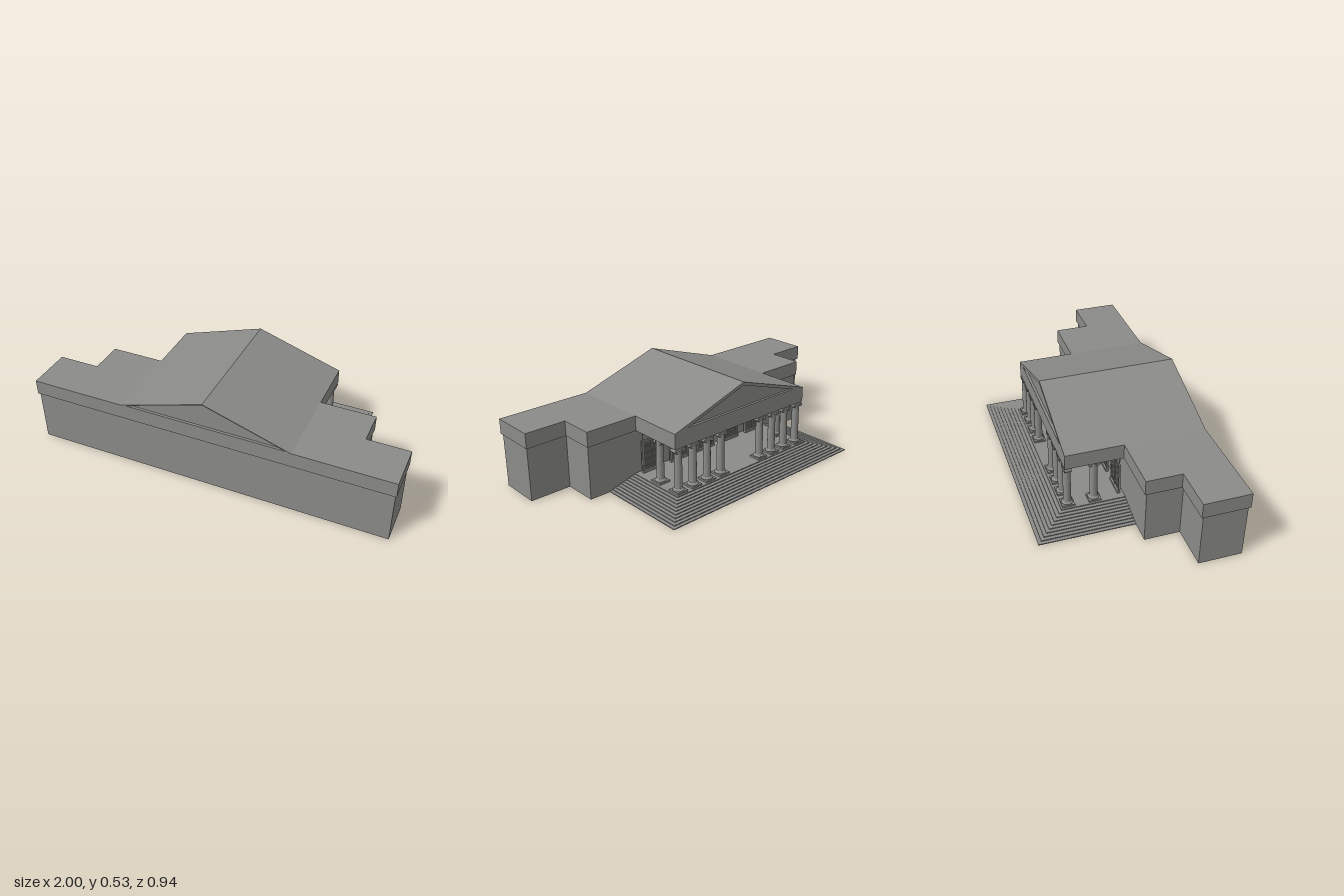
import * as THREE from 'three';

const stone = new THREE.MeshStandardMaterial({ color: 0x8b8b89, side: THREE.DoubleSide });
stone.name = 'grey stone';
const glass = new THREE.MeshStandardMaterial({ color: 0x5e5e5b });
glass.name = 'dark glazing';

const FLOOR = 0.05, BEAM = 0.297, EAVES = 0.38, RIDGE = 0.532;

function add(parent, name, geometry, material = stone, x = 0, y = 0, z = 0) {
  const mesh = new THREE.Mesh(geometry, material);
  mesh.name = name;
  mesh.position.set(x, y, z);
  parent.add(mesh);
  return mesh;
}

// Box given by its centre in x and z and its bottom and top in y
function block(parent, name, x, z, w, d, y0, y1, material = stone) {
  return add(parent, name, new THREE.BoxGeometry(w, y1 - y0, d), material, x, (y0 + y1) / 2, z);
}

function faceted(geometry) {
  const g = geometry.toNonIndexed();
  g.computeVertexNormals();
  return g;
}

// Plan outline: half a list of [x, z] points, mirrored into a closed loop
function plan(half) {
  const loop = [...half, ...half.map(([x, z]) => [-x, z]).reverse()];
  return loop.map(([x, z]) => new THREE.Vector2(x, -z));
}

function triangle(halfWidth, y0, y1, Type = THREE.Shape) {
  return new Type([[-halfWidth, y0], [halfWidth, y0], [0, y1], [-halfWidth, y0]].map(p => new THREE.Vector2(...p)));
}

function extrude(shape, depth) {
  return new THREE.ExtrudeGeometry(shape, { depth, bevelEnabled: false });
}

// Open shell of risers and treads wrapping three sides, closed by the platform top
function stairShell(count, run) {
  const positions = [], index = [];
  const last = count * 2 - 1;
  for (let i = 0; i <= last; i++) {
    const inset = run * Math.floor(i / 2) / (count - 1);
    const y = FLOOR * Math.ceil(i / 2) / count;
    const w = 0.645 - inset, back = -0.47 + inset;
    positions.push(w, y, 0.04, w, y, back, -w, y, back, -w, y, 0.04);
    if (i === 0) continue;
    for (let k = 0; k < 3; k++) {
      const low = (i - 1) * 4 + k, high = i * 4 + k;
      index.push(low, low + 1, high + 1, low, high + 1, high);
    }
  }
  const top = last * 4;
  index.push(top, top + 1, top + 2, top, top + 2, top + 3);
  const g = new THREE.BufferGeometry();
  g.setAttribute('position', new THREE.Float32BufferAttribute(positions, 3));
  g.setIndex(index);
  return faceted(g);
}

// Scrolled column standing on the platform under the beam
function makeColumn(x, z, turned) {
  const column = new THREE.Group();
  column.name = 'column';
  block(column, 'plinth', 0, 0, 0.067, 0.067, FLOOR, 0.06);
  const profile = [[0.03, 0.06], [0.031, 0.063], [0.029, 0.066], [0.025, 0.067], [0.026, 0.07], [0.021, 0.073]];
  add(column, 'base', new THREE.LatheGeometry(profile.map(p => new THREE.Vector2(...p)), 20));
  add(column, 'shaft', faceted(new THREE.CylinderGeometry(0.0195, 0.0215, 0.208, 20)), stone, 0, 0.174, 0);
  block(column, 'cushion', 0, 0, 0.046, 0.036, 0.276, 0.291);
  for (const side of [-1, 1]) {
    const scroll = add(column, 'scroll', new THREE.CylinderGeometry(0.0125, 0.0125, 0.038, 16), stone, side * 0.0205, 0.282, 0);
    scroll.rotation.x = Math.PI / 2;
    const eye = add(column, 'scrollEye', new THREE.CylinderGeometry(0.004, 0.004, 0.041, 10), stone, side * 0.0205, 0.282, 0);
    eye.rotation.x = Math.PI / 2;
  }
  block(column, 'abacus', 0, 0, 0.046, 0.04, 0.291, BEAM);
  column.position.set(x, 0, z);
  if (turned) column.rotation.y = Math.PI / 2;
  return column;
}

// Glazed bay with a grid of bars
function makeBay(x, width, top) {
  const bay = new THREE.Group();
  bay.name = 'glazedBay';
  block(bay, 'glass', 0, 0.021, width, 0.004, FLOOR, top, glass);
  for (const side of [-1, 1]) block(bay, 'jamb', side * width / 2, 0.019, 0.01, 0.01, FLOOR, top);
  block(bay, 'lintel', 0, 0.019, width + 0.01, 0.01, top - 0.008, top);
  block(bay, 'sill', 0, 0.016, width + 0.01, 0.016, FLOOR, 0.062);
  block(bay, 'mullion', 0, 0.018, 0.004, 0.008, FLOOR, top);
  for (let j = 1; j < 5; j++) {
    const y = FLOOR + (top - FLOOR) * j / 5;
    block(bay, 'glazingBar', 0, 0.018, width, 0.009, y - 0.0015, y + 0.0015);
  }
  bay.position.x = x;
  return bay;
}

export function createModel() {
  const model = new THREE.Group();
  model.name = 'portico building';

  // Thin walls along a stepped footprint, open underneath
  const footprint = new THREE.Shape(plan([[0.993, 0.46], [0.993, 0.23], [0.763, 0.23], [0.763, 0.04]]));
  footprint.holes.push(new THREE.Path(plan([[0.99, 0.457], [0.99, 0.233], [0.76, 0.233], [0.76, 0.043]])));
  add(model, 'walls', extrude(footprint, BEAM).rotateX(-Math.PI / 2));

  // Flat roof band over the wings and the portico
  const outline = plan([[1, 0.47], [1, 0.22], [0.77, 0.22], [0.77, 0.03], [0.47, 0.03], [0.47, -0.28]]);
  const band = extrude(new THREE.Shape(outline), EAVES - BEAM).rotateX(-Math.PI / 2);
  add(model, 'roofBand', band, stone, 0, BEAM, 0);

  // Gable roof with a recessed pediment at each end
  add(model, 'gableRoof', extrude(triangle(0.47, EAVES, RIDGE), 0.722), stone, 0, 0, -0.266);
  const frontFrame = triangle(0.47, EAVES, RIDGE);
  frontFrame.holes.push(triangle(0.445, 0.384, 0.527, THREE.Path));
  add(model, 'frontPedimentFrame', extrude(frontFrame, 0.014), stone, 0, 0, 0.456);
  const backFrame = triangle(0.47, EAVES, RIDGE);
  backFrame.holes.push(triangle(0.385, 0.39, 0.514, THREE.Path));
  add(model, 'backPedimentFrame', extrude(backFrame, 0.014), stone, 0, 0, -0.28);

  // Platform and the steps descending on three sides
  add(model, 'stairs', stairShell(10, 0.165));

  // Columns along the portico edge, and one on each flank
  for (const side of [-1, 1]) {
    for (const x of [0.145, 0.242, 0.339, 0.436]) model.add(makeColumn(side * x, -0.262, false));
    model.add(makeColumn(side * 0.436, -0.12, true));
  }

  // Entrance screen behind the columns
  for (const x of [-0.38, -0.19, 0, 0.19, 0.38]) model.add(makeBay(x, 0.12, 0.235));
  block(model, 'transom', 0, 0.022, 0.87, 0.003, 0.235, 0.294);

  return model;
}
